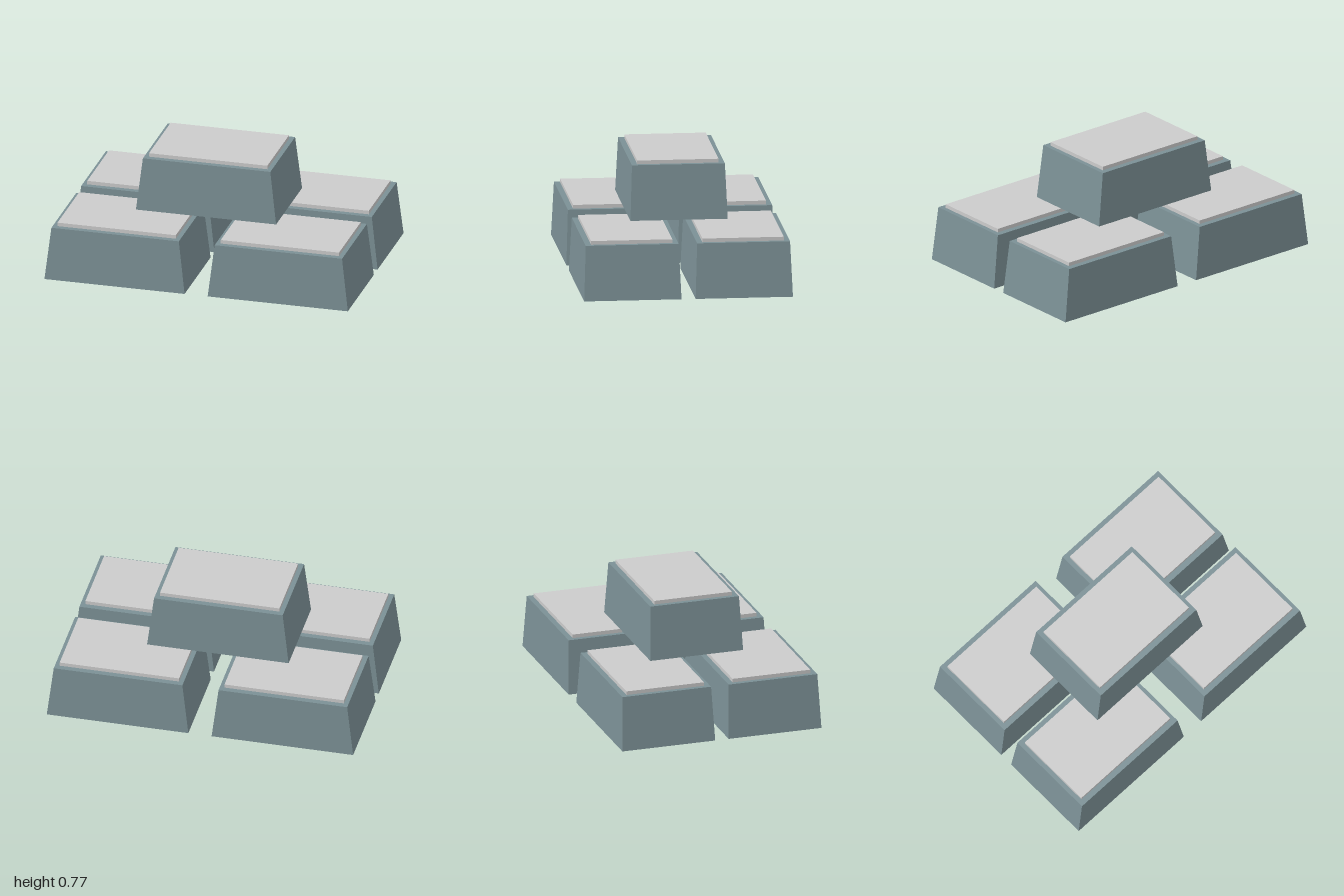
import * as THREE from 'three';

const bodyMaterial = new THREE.MeshStandardMaterial({ color: 0x7b9095, flatShading: true });
const plateMaterial = new THREE.MeshStandardMaterial({ color: 0xcccccc, flatShading: true });

const BASE = { w: 0.924, d: 0.622 };
const TOP = { w: 0.84, d: 0.594 };
const HEIGHT = 0.352;
const PLATE = { w: 0.78, h: 0.024, d: 0.52 };

// Box standing on y = 0 whose upper corners are drawn inwards
function taperedBox() {
  const geometry = new THREE.BoxGeometry(BASE.w, HEIGHT, BASE.d);
  geometry.translate(0, HEIGHT / 2, 0);
  const p = geometry.attributes.position;
  for (let i = 0; i < p.count; i++) {
    if (p.getY(i) > HEIGHT / 2) {
      p.setX(i, p.getX(i) * TOP.w / BASE.w);
      p.setZ(i, p.getZ(i) * TOP.d / BASE.d);
    }
  }
  geometry.computeVertexNormals();
  return geometry;
}

// One ingot: tapered body with a thin raised plate on top
function makeIngot(name, x, y, z) {
  const ingot = new THREE.Group();
  ingot.name = name;
  const body = new THREE.Mesh(taperedBox(), bodyMaterial);
  body.name = 'ingotBody';
  const plate = new THREE.Mesh(new THREE.BoxGeometry(PLATE.w, PLATE.h, PLATE.d), plateMaterial);
  plate.name = 'topPlate';
  plate.position.y = HEIGHT + PLATE.h / 2;
  ingot.add(body, plate);
  ingot.position.set(x, y, z);
  return ingot;
}

export function createModel() {
  const model = new THREE.Group();
  model.name = 'ingotStack';

  // Lower layer: two by two
  for (const [side, x] of [['Left', 0.538], ['Right', -0.538]]) {
    for (const [end, z] of [['front', 0.356], ['back', -0.356]]) {
      model.add(makeIngot(`${end}${side}Ingot`, x, 0, z));
    }
  }

  // Upper ingot, slightly off centre
  model.add(makeIngot('upperIngot', -0.033, 0.391, 0));
  return model;
}
